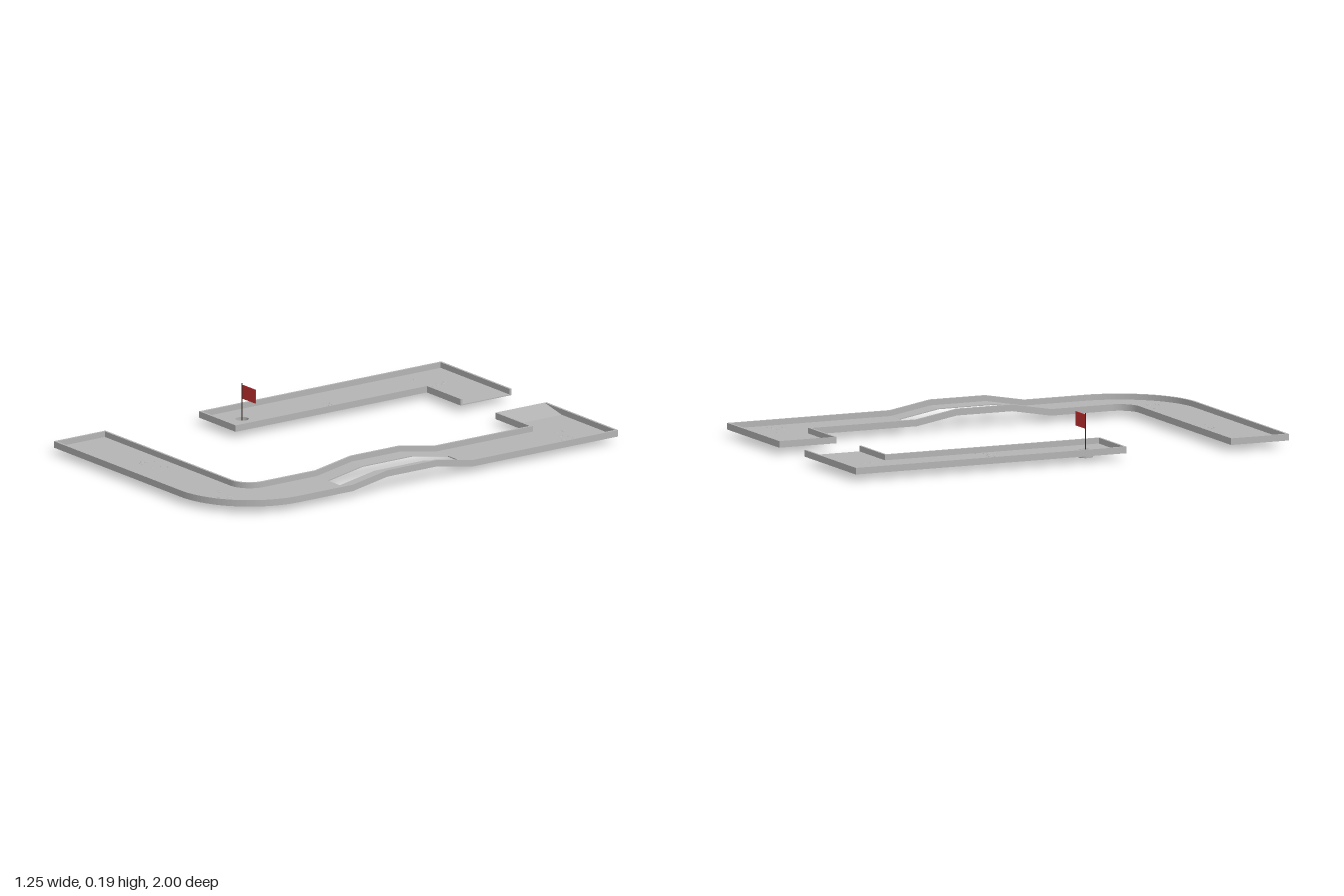
import * as THREE from 'three';

const grey = new THREE.MeshStandardMaterial({ color: 0xb4b4b4 });
grey.name = 'course grey';
const red = new THREE.MeshStandardMaterial({ color: 0xcc3333 });
red.name = 'flag red';
const dark = new THREE.MeshStandardMaterial({ color: 0x33281f });
dark.name = 'pole brown';

const BASE = 0.027, FLOOR = 0.031, TOP = 0.055, WALL = 0.01;
const HUMP = [-0.25, -0.065, 0.19, 0.37], RISE = 0.032;

// Height of the hump at a given z
function lift(z) {
  const [a, b, c, d] = HUMP;
  const t = z < b ? (z - a) / (b - a) : (d - z) / (d - c);
  return RISE * THREE.MathUtils.clamp(t, 0, 1);
}

export function createModel() {
  const model = new THREE.Group();
  model.name = 'miniGolfCourse';
  const right = new THREE.Group(), left = new THREE.Group();
  right.name = 'teeSection';
  left.name = 'greenSection';
  model.add(right, left);

  function add(parent, name, geometry, material = grey) {
    const mesh = new THREE.Mesh(geometry, material);
    mesh.name = name;
    parent.add(mesh);
    return mesh;
  }

  // Box given by its limits; humped boxes follow the hump
  function slab(parent, name, x0, x1, z0, z1, y0, y1, humped = false) {
    const g = new THREE.BoxGeometry(x1 - x0, y1 - y0, z1 - z0);
    g.translate((x0 + x1) / 2, (y0 + y1) / 2, (z0 + z1) / 2);
    if (humped) {
      const p = g.attributes.position;
      for (let i = 0; i < p.count; i++) p.setY(i, p.getY(i) + lift(p.getZ(i)));
      g.computeVertexNormals();
    }
    return add(parent, name, g);
  }
  const floor = (parent, x0, x1, z0, z1, humped) => slab(parent, 'floor', x0, x1, z0, z1, BASE, FLOOR, humped);
  const wall = (parent, x0, x1, z0, z1, humped) => slab(parent, 'wall', x0, x1, z0, z1, BASE, TOP, humped);

  // Plan shape (x, z) extruded between two heights
  function plan(parent, name, shape, y0, y1) {
    const g = new THREE.ExtrudeGeometry(shape, { depth: y1 - y0, bevelEnabled: false, curveSegments: 14 });
    g.rotateX(Math.PI / 2).translate(0, y1, 0);
    return add(parent, name, g);
  }

  // ---- Tee section: start lane, bend, hump lane, jump ramp
  const XO = 0.627, XI = 0.36, CX = 0.27, CZ = 0.643, ZI = 0.733;
  const RO = XO - CX, RI = XI - CX;
  floor(right, -0.627, CX, ZI, 1);
  wall(right, -0.627, CX, 1 - WALL, 1);
  wall(right, -0.627, CX, ZI, ZI + WALL);
  wall(right, -0.627, -0.627 + WALL, ZI, 1);

  // Rounded bend
  function bend(name, r0, r1, y0, y1) {
    const s = new THREE.Shape();
    s.absarc(CX, CZ, r1, 0, Math.PI / 2, false);
    s.absarc(CX, CZ, r0, Math.PI / 2, 0, true);
    s.closePath();
    plan(right, name, s, y0, y1);
  }
  bend('bendFloor', RI, RO, BASE, FLOOR);
  bend('bendOuterWall', RO - WALL, RO, BASE, TOP);
  bend('bendInnerWall', RI, RI + WALL, BASE, TOP);

  // Long lane, with a slot through the hump
  const stops = [-0.737, ...HUMP, CZ];
  for (let i = 0; i < stops.length - 1; i++) {
    const z0 = stops[i], z1 = stops[i + 1];
    if (i === 0 || i === stops.length - 2) {
      floor(right, XI, XO, z0, z1);
    } else {
      floor(right, XI, 0.45, z0, z1, true);
      floor(right, 0.535, XO, z0, z1, true);
    }
    wall(right, XI, XI + WALL, z0, z1, true);
    wall(right, XO - WALL, XO, z0, z1, true);
  }

  // Turn towards the gap
  const GAP = 0.118;
  floor(right, GAP, XO, -1, -0.737);
  wall(right, GAP, XO, -1, -1 + WALL);
  wall(right, XO - WALL, XO, -1, -0.737);
  wall(right, GAP, XI + WALL, -0.737 - WALL, -0.737);

  // Jump ramp
  const wedge = new THREE.Shape([
    new THREE.Vector2(GAP, BASE), new THREE.Vector2(0.24, BASE),
    new THREE.Vector2(0.24, FLOOR), new THREE.Vector2(GAP, TOP),
  ]);
  const ramp = new THREE.ExtrudeGeometry(wedge, { depth: 0.263 - 0.002, bevelEnabled: false });
  add(right, 'jumpRamp', ramp.translate(0, 0, -0.999));

  // ---- Green section: L-shaped lane with the cup
  const CUP = { x: -0.496, z: 0.123, r: 0.03 };
  const L = [[-0.627, -1], [-0.128, -1], [-0.128, -0.737], [-0.368, -0.737], [-0.368, 0.25], [-0.627, 0.25]];
  const outline = new THREE.Shape(L.map(([x, z]) => new THREE.Vector2(x, z)));
  outline.holes.push(new THREE.Path().absarc(CUP.x, CUP.z, CUP.r, 0, Math.PI * 2, true));
  plan(left, 'floor', outline, BASE, FLOOR);
  wall(left, -0.627, -0.128, -1, -1 + WALL);
  wall(left, -0.627, -0.627 + WALL, -1, 0.25);
  wall(left, -0.627, -0.368, 0.25 - WALL, 0.25);
  wall(left, -0.368 - WALL, -0.368, -0.737 - WALL, 0.25);
  wall(left, -0.368 - WALL, -0.128, -0.737 - WALL, -0.737);

  // Cup: hollow turned profile
  const profile = [[0, 0], [CUP.r, 0], [CUP.r, FLOOR], [CUP.r - 0.002, FLOOR], [CUP.r - 0.002, 0.002], [0, 0.002]];
  for (let i = 0; i < profile.length - 1; i++) {
    const pts = [profile[i], profile[i + 1]].map(([x, y]) => new THREE.Vector2(x, y));
    add(left, 'cup', new THREE.LatheGeometry(pts, 28)).position.set(CUP.x, 0, CUP.z);
  }

  // Pole and flag
  add(left, 'flagPole', new THREE.CylinderGeometry(0.002, 0.002, 0.185, 10), dark)
    .position.set(CUP.x, 0.0935, CUP.z);
  add(left, 'flag', new THREE.BoxGeometry(0.092, 0.06, 0.003), red)
    .position.set(CUP.x + 0.05, 0.15, CUP.z);

  // Scattered low bumps on the floor
  let seed = 7;
  const rnd = () => (seed = (seed * 16807) % 2147483647) / 2147483647 - 0.5;
  const bump = new THREE.SphereGeometry(0.009, 8, 4, 0, Math.PI * 2, 0, Math.PI / 2);
  const patches = [[left, -0.47, -0.84], [left, -0.45, -0.29], [right, 0.5, -0.81], [right, -0.16, 0.81], [right, 0.36, 0.85]];
  for (const [parent, x, z] of patches) {
    for (let i = 0; i < 9; i++) {
      const m = add(parent, 'floorBump', bump);
      m.position.set(x + rnd() * 0.15, FLOOR, z + rnd() * 0.09);
      m.scale.set(1 + rnd(), 0.2, 0.8 + rnd() * 0.6);
    }
  }
  return model;
}
